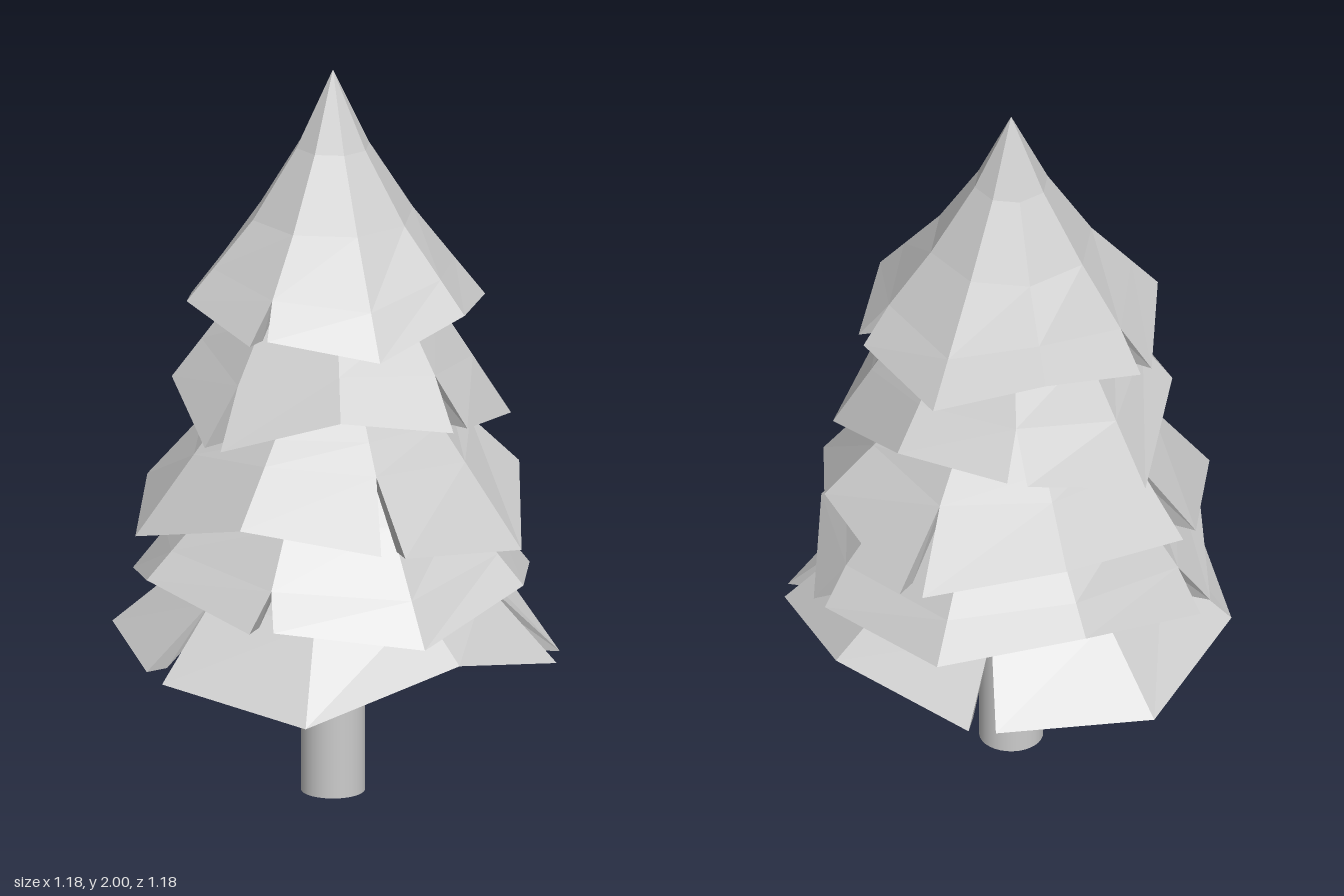
import * as THREE from 'three';

const CX = 0.02, CZ = 0.01; // trunk axis
const RIM = 0.065;          // thickness of the branch skirts at the hem
const GAP = 7;              // degrees between the two sides of a slit
const PANEL = (360 - 3 * GAP) / 8; // degrees per flat panel, eight panels in each tier

// rings: [radius, y] from the tip down; start: angle of the first hem corner in degrees;
// hem: mean radius and height; flare: how much lower corners reach outward;
// slit: where slits begin (0 = upper ring, 1 = hem);
// sections: corner heights of the three sections between slits.
const TIERS = [
  { name: 'topBranches', rings: [[0, 2], [0.1, 1.79], [0.22, 1.6]], start: 70, hem: [0.412, 1.35], flare: 0.25, slit: 0.6,
    sections: [[1.34, 1.39, 1.32], [1.33, 1.4, 1.305, 1.35], [1.35, 1.38, 1.31, 1.36]] },
  { name: 'upperBranches', rings: [[0, 1.7], [0.27, 1.36]], start: 84.5, hem: [0.447, 1.1], flare: 0.4, slit: 0.5,
    sections: [[1.05, 1.15, 1.02, 1.11], [1.12, 1.13, 1.035, 1.09], [1.09, 1.15, 1.05]] },
  { name: 'middleBranches', rings: [[0, 1.45], [0.32, 1.06]], start: 24, hem: [0.535, 0.81], flare: 0.38, slit: 0.3,
    sections: [[0.81, 0.86, 0.76, 0.81], [0.82, 0.87, 0.785], [0.775, 0.87, 0.745, 0.8]] },
  { name: 'lowerBranches', rings: [[0, 1.2], [0.36, 0.83]], start: 61.5, hem: [0.552, 0.59], flare: 0.2, slit: 0.6,
    sections: [[0.59, 0.65, 0.56], [0.56, 0.66, 0.58, 0.585], [0.57, 0.63, 0.545, 0.6]] },
  { name: 'bottomBranches', rings: [[0, 0.95], [0.36, 0.64]], start: 94, hem: [0.597, 0.42], flare: 0.3, slit: 0.2,
    sections: [[0.43, 0.44, 0.38, 0.42], [0.42, 0.48, 0.4], [0.39, 0.49, 0.36, 0.415]] },
];

const polar = (r, angle, y) => new THREE.Vector3(CX + r * Math.cos(angle), y, CZ + r * Math.sin(angle));

// Point moved horizontally towards the axis by the skirt thickness
const inset = (p) => p.clone().add(new THREE.Vector3(CX - p.x, 0, CZ - p.z).setLength(RIM));

// Hem corners of a tier, going round in equal panels with a narrow gap at each slit
function hemSections(tier) {
  const [radius, height] = tier.hem;
  let degrees = tier.start;
  return tier.sections.map((heights) => {
    const corners = heights.map((y, i) =>
      polar(radius + tier.flare * (height - y), THREE.MathUtils.degToRad(degrees + i * PANEL), y));
    degrees += (heights.length - 1) * PANEL + GAP;
    return corners;
  });
}

// Inner ring under the upper ring, where the hollow underside is closed
function ceilingRing(tier) {
  const [r, y] = tier.rings[tier.rings.length - 1];
  return [r * 0.7, y + 0.035];
}

// One spine of a skirt: outer points from tip to hem and matching inner points.
// "toward" aims the upper part, so both sides of a slit share it.
function makeColumn(hem, toward, tier) {
  const angle = Math.atan2(toward.z - CZ, toward.x - CX);
  const upper = tier.rings.map(([r, y]) => polar(r, angle, y));
  const mid = upper[upper.length - 1];
  const [r, y] = ceilingRing(tier);
  const innerMid = polar(r, angle, y);
  return {
    outer: [...upper, mid.clone().lerp(toward, tier.slit), hem],
    inner: [innerMid, innerMid.clone().lerp(inset(toward), tier.slit), inset(hem)],
  };
}

function skirtGeometry(tier) {
  const positions = [];
  const tri = (a, b, c) => {
    const area = b.clone().sub(a).cross(c.clone().sub(a)).length();
    if (area > 1e-7) for (const p of [a, b, c]) positions.push(p.x, p.y, p.z);
  };
  const quad = (a, b, c, d) => { tri(a, b, c); tri(a, c, d); };
  const sections = hemSections(tier);
  const ceiling = new THREE.Vector3(CX, ceilingRing(tier)[1], CZ);

  sections.forEach((section, s) => {
    const previous = sections[(s + 2) % 3], next = sections[(s + 1) % 3];
    const last = section.length - 1;
    const columns = section.map((hem, i) => {
      const toward = hem.clone();
      if (i === 0) toward.lerp(previous[previous.length - 1], 0.5);
      if (i === last) toward.lerp(next[0], 0.5);
      return makeColumn(hem, toward, tier);
    });
    const n = tier.rings.length + 1;
    for (let i = 0; i < last; i++) {
      const a = columns[i], b = columns[i + 1];
      for (let k = 0; k < n; k++) quad(a.outer[k], b.outer[k], b.outer[k + 1], a.outer[k + 1]);
      for (let k = 0; k < 2; k++) quad(a.inner[k + 1], b.inner[k + 1], b.inner[k], a.inner[k]);
      quad(a.outer[n], b.outer[n], b.inner[2], a.inner[2]); // hem thickness
      tri(a.inner[0], b.inner[0], ceiling);
    }
    // Slit walls
    const a = columns[0], b = columns[last];
    quad(a.outer[n - 1], a.outer[n], a.inner[2], a.inner[1]);
    quad(b.outer[n], b.outer[n - 1], b.inner[1], b.inner[2]);
  });

  const geometry = new THREE.BufferGeometry();
  geometry.setAttribute('position', new THREE.Float32BufferAttribute(positions, 3));
  geometry.computeVertexNormals();
  return geometry;
}

export function createModel() {
  const model = new THREE.Group();
  model.name = 'pineTree';
  const grey = new THREE.MeshStandardMaterial({ color: 0xcccccc });
  grey.name = 'light grey';

  // Trunk
  const trunk = new THREE.Mesh(new THREE.CylinderGeometry(0.085, 0.085, 0.8, 32), grey);
  trunk.name = 'trunk';
  trunk.position.set(CX, 0.4, CZ);
  model.add(trunk);

  // Branch skirts
  for (const tier of TIERS) {
    const skirt = new THREE.Mesh(skirtGeometry(tier), grey);
    skirt.name = tier.name;
    model.add(skirt);
  }
  return model;
}
